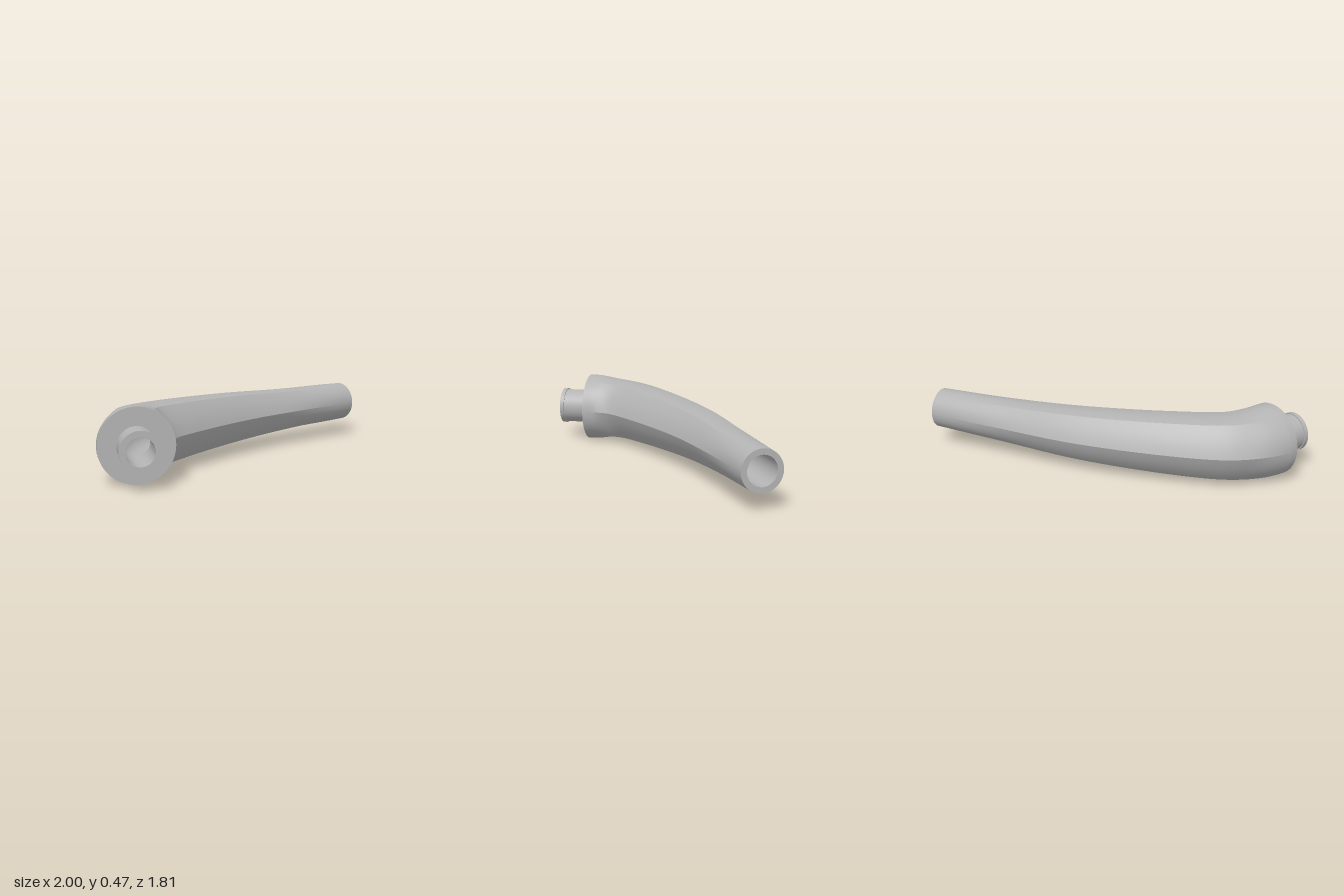
import * as THREE from 'three';
import { toCreasedNormals } from 'three/addons/utils/BufferGeometryUtils.js';

const AXIS_Y = 0.236;
// Path of the arm: x and z are the centre line, y holds the section radius
const path = new THREE.CatmullRomCurve3([
  [-0.765, 0.235, 0.665], [-0.757, 0.231, 0.58], [-0.69, 0.218, 0.4], [-0.455, 0.204, 0.145],
  [0.01, 0.177, -0.24], [0.475, 0.149, -0.53], [0.93, 0.132, -0.79],
].map(p => new THREE.Vector3(...p)), false, 'centripetal');

const START = new THREE.Vector3(0, 0, -1);
function frameAt(t) {
  const p = path.getPointAt(t);
  const d = path.getTangentAt(t).setY(0).normalize();
  d.lerp(START, 1 - THREE.MathUtils.smoothstep(t, 0, 0.06)).normalize();
  return { p, d };
}

// Sweep of separate panels, so that the seams between panels stay sharp
function sweep(radiusAt, panels, steps, rows, inward) {
  const pos = [], index = [];
  for (let k = 0; k < panels; k++) {
    const base = pos.length / 3;
    for (let i = 0; i <= rows; i++) {
      const t = i / rows, { p, d } = frameAt(t);
      for (let j = 0; j <= steps; j++) {
        const a = (k + j / steps) * Math.PI * 2 / panels;
        const r = radiusAt(t, a, p.y);
        pos.push(p.x - d.z * r * Math.cos(a), AXIS_Y + r * Math.sin(a), p.z + d.x * r * Math.cos(a));
        if (i < rows && j < steps) {
          const q = base + i * (steps + 1) + j, n = q + steps + 1;
          if (inward) index.push(q, q + 1, n, q + 1, n + 1, n);
          else index.push(q, n, q + 1, q + 1, n, n + 1);
        }
      }
    }
  }
  const g = new THREE.BufferGeometry();
  g.setAttribute('position', new THREE.Float32BufferAttribute(pos, 3));
  g.setIndex(index);
  g.computeVertexNormals();
  return g;
}

// Rounded hexagon in the middle of the arm, circle at both ends
function armRadius(t, a, r) {
  const { smoothstep } = THREE.MathUtils;
  const flat = 0.62 * smoothstep(t, 0, 0.1) * (1 - smoothstep(t, 0.65, 0.97));
  const sector = Math.PI / 3;
  const local = a - Math.floor(a / sector + 1e-9) * sector - sector / 2;
  const hex = Math.cos(sector / 2) / Math.cos(local);
  return r * (1 - flat + flat * hex);
}

export function createModel() {
  const group = new THREE.Group();
  const metal = new THREE.MeshStandardMaterial({ color: 0xb4b4b4 });
  metal.name = 'grey metal';
  const add = (name, geometry) => {
    const mesh = new THREE.Mesh(geometry, metal);
    mesh.name = name;
    group.add(mesh);
    return mesh;
  };

  add('arm', sweep(armRadius, 6, 14, 90, false));
  add('innerChannel', sweep(t => 0.087 + 0.008 * t, 1, 48, 60, true));

  // Round flange with a lipped hollow spigot
  const profile = [
    [0.235, 0.655], [0.235, 0.705], [0.119, 0.705], [0.119, 0.88],
    [0.126, 0.88], [0.126, 0.908], [0.087, 0.908], [0.087, 0.66],
  ].map(p => new THREE.Vector2(...p));
  const lathe = new THREE.LatheGeometry(profile, 64).rotateX(Math.PI / 2);
  add('flangeAndSpigot', toCreasedNormals(lathe, 0.5)).position.set(-0.765, AXIS_Y, 0);

  // Flat rim at the open end
  const { p, d } = frameAt(1);
  const rim = add('endRim', new THREE.RingGeometry(0.095, 0.132, 84));
  rim.position.set(p.x, AXIS_Y, p.z);
  rim.rotation.y = Math.atan2(d.x, d.z);

  return group;
}
